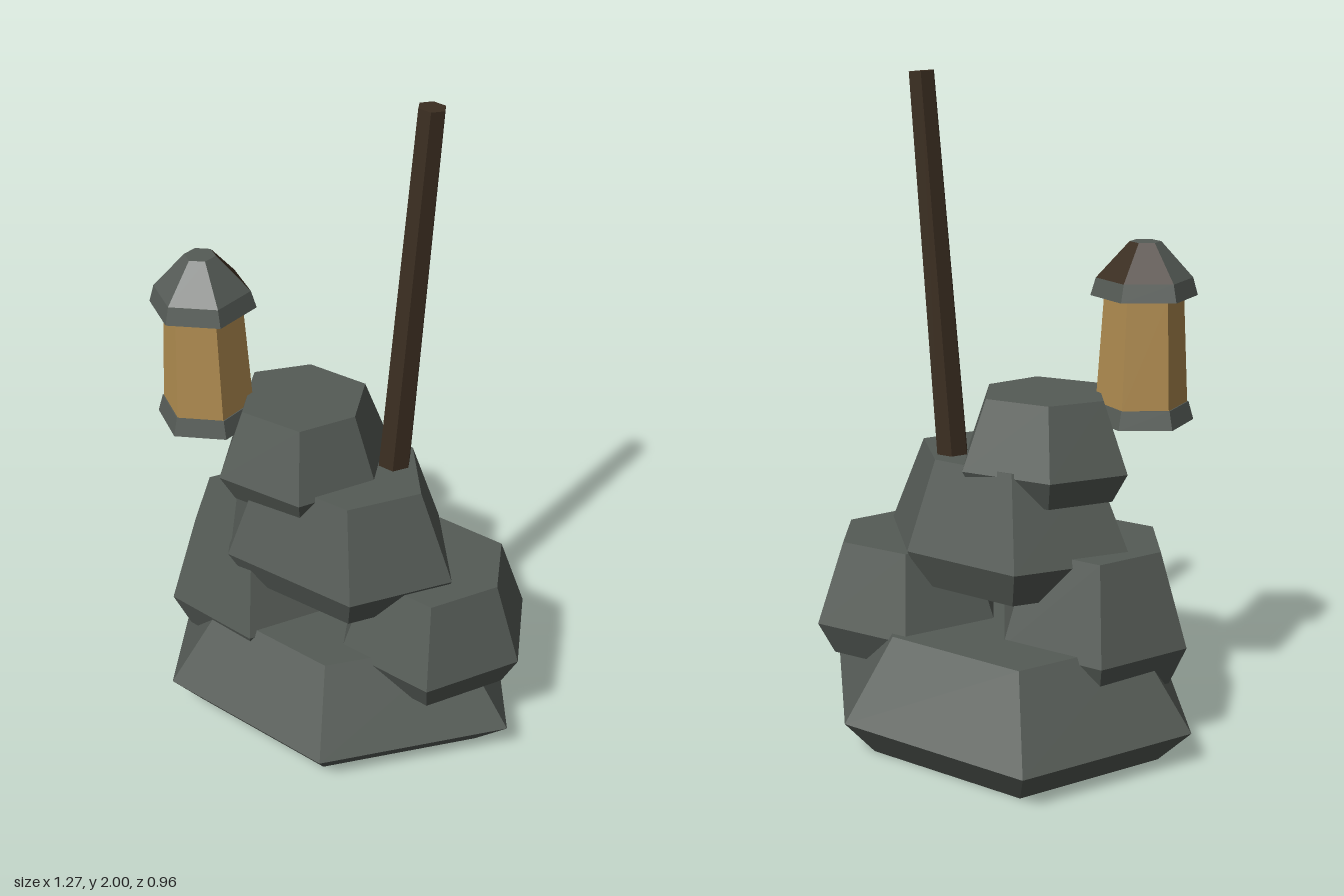
import * as THREE from 'three';

const mat = (name, color) => {
  const m = new THREE.MeshStandardMaterial({ color });
  m.name = name;
  return m;
};

// Unwelds the corners so every face is shaded flat
function facet(geometry) {
  const g = geometry.index ? geometry.toNonIndexed() : geometry;
  g.computeVertexNormals();
  return g;
}

// Boulder: a six-cornered waist outline, shrunk towards its centre for base and top
function rockGeometry([yBase, yWaist, yTop], outline) {
  const n = outline.length;
  const cx = outline.reduce((s, p) => s + p[0], 0) / n;
  const cz = outline.reduce((s, p) => s + p[1], 0) / n;
  const rings = [[yBase, 0.83], [yWaist, 1], [yTop, 0.71]];
  const pos = [], idx = [];
  for (const [y, s] of rings)
    for (const [x, z] of outline) pos.push(cx + (x - cx) * s, y, cz + (z - cz) * s);
  for (let r = 0; r < 2; r++)
    for (let i = 0; i < n; i++) {
      const j = (i + 1) % n, a = r * n + i, b = r * n + j;
      idx.push(a, b, b + n, a, b + n, a + n);
    }
  for (let i = 1; i < n - 1; i++) {
    idx.push(0, i + 1, i);
    idx.push(2 * n, 2 * n + i, 2 * n + i + 1);
  }
  const g = new THREE.BufferGeometry();
  g.setAttribute('position', new THREE.Float32BufferAttribute(pos, 3));
  g.setIndex(idx);
  return facet(g);
}

export function createModel() {
  const stone = mat('stone', 0x555b56);
  const wood = mat('dark wood', 0x3b2e21);
  const glow = mat('amber glass', 0xb08c50);

  const model = new THREE.Group();
  const add = (parent, name, geometry, material) => {
    const mesh = new THREE.Mesh(geometry, material);
    mesh.name = name;
    parent.add(mesh);
    return mesh;
  };

  // Stacked boulders: heights, then waist outline as [x, z], counter-clockwise from above
  const rocks = {
    baseRock: [[0, 0.11, 0.36],
      [[-0.635, 0.01], [-0.335, 0.478], [0.26, 0.475], [0.632, 0.01], [0.285, -0.445], [-0.34, -0.48]]],
    leftRock: [[0.235, 0.34, 0.59],
      [[0.0, -0.04], [0.16, 0.235], [0.475, 0.232], [0.62, -0.045], [0.478, -0.305], [0.16, -0.3]]],
    rightRock: [[0.215, 0.34, 0.625],
      [[-0.58, 0.085], [-0.42, 0.36], [-0.095, 0.367], [0.05, 0.09], [-0.1, -0.17], [-0.43, -0.18]]],
    middleRock: [[0.485, 0.6, 0.875],
      [[-0.415, 0.04], [-0.2, 0.33], [0.245, 0.305], [0.418, 0.03], [0.2, -0.222], [-0.18, -0.245]]],
    topRock: [[0.77, 0.86, 1.07],
      [[-0.397, 0.04], [-0.235, 0.312], [0.045, 0.285], [0.155, 0.06], [0.037, -0.17], [-0.245, -0.155]]],
  };
  for (const [name, [heights, outline]] of Object.entries(rocks))
    add(model, name, rockGeometry(heights, outline), stone);

  // Leaning six-sided pole
  const foot = new THREE.Vector3(0.127, 0.6, -0.042);
  const tip = new THREE.Vector3(0.21, 1.998, -0.092);
  const axis = tip.clone().sub(foot);
  const pole = add(model, 'pole', facet(new THREE.CylinderGeometry(0.04, 0.054, axis.length(), 6)), wood);
  pole.position.copy(foot).add(tip).multiplyScalar(0.5);
  pole.quaternion.setFromUnitVectors(new THREE.Vector3(0, 1, 0), axis.normalize());
  pole.rotateY(Math.PI / 6);

  // Six-sided lantern
  const lantern = new THREE.Group();
  lantern.name = 'lantern';
  lantern.position.set(-0.36, 0, 0.206);
  model.add(lantern);
  const tier = (name, y0, y1, r0, r1, material, ...rest) => {
    const g = facet(new THREE.CylinderGeometry(r1, r0, y1 - y0, ...(rest.length ? rest : [6])));
    add(lantern, name, g, material).position.y = (y0 + y1) / 2;
  };
  tier('lanternBase', 0.985, 1.04, 0.156, 0.14, stone);
  tier('lanternGlass', 1.04, 1.36, 0.136, 0.117, glow);
  tier('lanternEaves', 1.36, 1.412, 0.157, 0.142, stone);
  // Roof slope: four stone panels and two wooden ones at the back
  const third = Math.PI * 2 / 3;
  tier('lanternRoof', 1.412, 1.518, 0.142, 0.046, stone, 4, 1, true, 2 * third, 2 * third);
  tier('lanternRoofBack', 1.412, 1.518, 0.142, 0.046, wood, 2, 1, true, third, third);
  const cap = new THREE.CircleGeometry(0.046, 6, Math.PI / 2).rotateX(-Math.PI / 2);
  add(lantern, 'lanternRoofCap', cap, stone).position.y = 1.518;

  return model;
}
